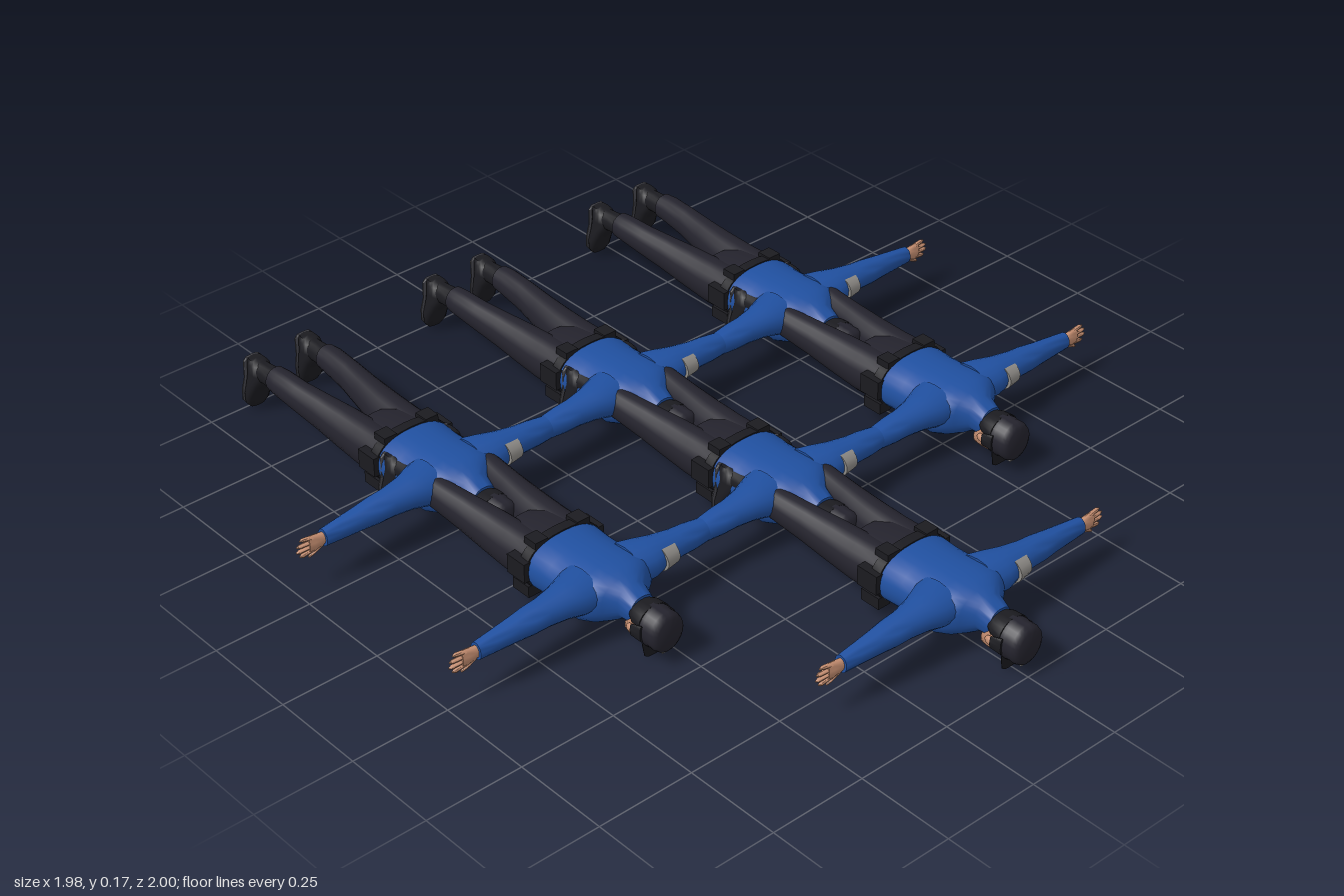
import * as THREE from 'three';
import { toCreasedNormals } from 'three/addons/utils/BufferGeometryUtils.js';

const material = (name, color) => {
  const m = new THREE.MeshStandardMaterial({ color });
  m.name = name;
  return m;
};

// Closed skin over elliptical sections [t, a, b, radiusA, radiusB].
// The axes (t, a, b) are z:(z,x,y), x:(x,y,z), y:(y,z,x).
function loft(axis, sections, { power = 1, segments = 18 } = {}) {
  const rings = [...sections].sort((p, q) => p[0] - q[0]);
  const place = { z: (t, a, b) => [a, b, t], x: (t, a, b) => [t, a, b], y: (t, a, b) => [b, t, a] }[axis];
  const round = v => Math.sign(v) * Math.abs(v) ** power;
  const pos = [], index = [], n = segments;
  for (const [t, a, b, ra, rb] of rings)
    for (let j = 0; j < n; j++) {
      const w = (j / n) * Math.PI * 2;
      pos.push(...place(t, a + ra * round(Math.cos(w)), b + rb * round(Math.sin(w))));
    }
  for (let i = 0; i < rings.length - 1; i++)
    for (let j = 0; j < n; j++) {
      const k = (j + 1) % n, a = i * n + j, b = i * n + k;
      index.push(a, b, b + n, a, b + n, a + n);
    }
  const first = rings[0], last = rings[rings.length - 1], c = rings.length * n;
  pos.push(...place(first[0], first[1], first[2]), ...place(last[0], last[1], last[2]));
  for (let j = 0; j < n; j++) {
    const k = (j + 1) % n;
    index.push(c, k, j, c + 1, c - n + j, c - n + k);
  }
  const g = new THREE.BufferGeometry();
  g.setAttribute('position', new THREE.Float32BufferAttribute(pos, 3));
  g.setIndex(index);
  return toCreasedNormals(g, 0.9);
}

// One figure lying face down, head toward +z, arms stretched along x at z = 0
function createFigure() {
  const blue = material('jacket blue', 0x2050a0);
  const cloth = material('trouser black', 0x24232d);
  const leather = material('leather black', 0x1b1b20);
  const skin = material('skin', 0xc48d70);
  const grey = material('badge grey', 0x8f8c88);
  const rubber = material('sole grey', 0x3c3c42);

  const figure = new THREE.Group();
  const add = (name, geometry, mat, x = 0, y = 0, z = 0) => {
    const mesh = new THREE.Mesh(geometry, mat);
    mesh.name = name;
    mesh.position.set(x, y, z);
    figure.add(mesh);
    return mesh;
  };

  // Jacket body and collar
  add('jacket', loft('z', [
    [-0.17, 0, 0.1, 0.1, 0.064], [-0.15, 0, 0.1, 0.104, 0.067], [-0.1, 0, 0.1, 0.1, 0.067],
    [-0.05, 0, 0.1, 0.1, 0.07], [0, 0, 0.102, 0.11, 0.069], [0.03, 0, 0.106, 0.1, 0.063],
    [0.055, 0, 0.108, 0.07, 0.055], [0.075, 0, 0.108, 0.043, 0.043], [0.11, 0, 0.1, 0.034, 0.036],
  ], { power: 0.85, segments: 28 }), blue);

  // Hips, belt and pouches
  add('hips', loft('z', [
    [-0.3, 0, 0.096, 0.055, 0.045], [-0.26, 0, 0.096, 0.094, 0.058],
    [-0.2, 0, 0.098, 0.101, 0.062], [-0.15, 0, 0.1, 0.1, 0.063],
  ], { power: 0.85, segments: 24 }), cloth);
  add('belt', loft('z', [[-0.186, 0, 0.099, 0.106, 0.068], [-0.158, 0, 0.1, 0.107, 0.069]],
    { power: 0.85, segments: 28 }), leather);
  for (const side of [-1, 1]) {
    add('sidePouch', new THREE.BoxGeometry(0.026, 0.05, 0.06), leather, side * 0.102, 0.105, -0.185);
    add('hipPouch', new THREE.BoxGeometry(0.036, 0.03, 0.055), leather, side * 0.085, 0.048, -0.185);
    add('rearPouch', new THREE.BoxGeometry(0.036, 0.018, 0.04), leather, side * 0.06, 0.16, -0.178);
  }
  add('holster', loft('z', [[-0.28, 0.104, 0.08, 0.01, 0.016], [-0.19, 0.107, 0.09, 0.013, 0.024]]), leather);
  add('buckle', new THREE.BoxGeometry(0.035, 0.008, 0.024), grey, 0, 0.031, -0.172);

  for (const s of [-1, 1]) {
    // Sleeve, from shoulder to cuff
    add('sleeve', loft('x', [
      [0.06, 0.122, -0.018, 0.046, 0.066], [0.1, 0.124, -0.008, 0.045, 0.058],
      [0.14, 0.127, -0.003, 0.038, 0.045], [0.19, 0.127, 0, 0.033, 0.036],
      [0.23, 0.125, 0, 0.032, 0.034], [0.27, 0.123, 0, 0.029, 0.028],
      [0.33, 0.12, 0, 0.025, 0.022], [0.372, 0.118, 0, 0.022, 0.018],
    ].map(([x, ...r]) => [x * s, ...r])), blue);

    // Hand with four fingers and a thumb
    add('palm', loft('x', [
      [0.36, 0.118, 0, 0.014, 0.012], [0.378, 0.117, 0, 0.017, 0.011],
      [0.398, 0.116, 0, 0.022, 0.01], [0.412, 0.116, 0, 0.021, 0.008],
    ].map(([x, ...r]) => [x * s, ...r]), { segments: 14 }), skin);
    for (let i = 0; i < 4; i++) {
      const y = 0.1 + i * 0.0105, tip = [0.437, 0.445, 0.443, 0.434][i], spread = (i - 1.5) * 0.003;
      add('finger', loft('x', [
        [0.4, y, 0, 0.0055, 0.0065], [tip - 0.008, y + spread, 0, 0.005, 0.0055],
        [tip, y + spread, 0, 0.002, 0.002],
      ].map(([x, ...r]) => [x * s, ...r]), { segments: 8 }), skin);
    }
    add('thumb', loft('x', [
      [0.375, 0.107, 0, 0.008, 0.008], [0.4, 0.092, 0, 0.006, 0.006], [0.413, 0.085, 0, 0.003, 0.003],
    ].map(([x, ...r]) => [x * s, ...r]), { segments: 8 }), skin);

    // Trouser leg
    add('trouserLeg', loft('z', [
      [-0.6, 0.074, 0.12, 0.031, 0.033], [-0.57, 0.074, 0.12, 0.033, 0.036],
      [-0.5, 0.071, 0.114, 0.034, 0.041], [-0.42, 0.063, 0.107, 0.039, 0.047],
      [-0.34, 0.056, 0.1, 0.046, 0.054], [-0.26, 0.052, 0.095, 0.05, 0.06],
      [-0.18, 0.05, 0.097, 0.05, 0.062],
    ].map(([z, x, ...r]) => [z, x * s, ...r])), cloth);

    // Boot: shaft, foot with the toe pointing down, sole
    add('bootShaft', loft('z', [
      [-0.67, 0.076, 0.114, 0.024, 0.028], [-0.63, 0.075, 0.117, 0.024, 0.028],
      [-0.585, 0.074, 0.12, 0.027, 0.03],
    ].map(([z, x, ...r]) => [z, x * s, ...r])), leather);
    add('bootFoot', loft('y', [
      [0.01, -0.686, 0.08, 0.009, 0.02], [0.025, -0.683, 0.08, 0.014, 0.032],
      [0.05, -0.68, 0.079, 0.018, 0.035], [0.08, -0.672, 0.077, 0.025, 0.031],
      [0.11, -0.664, 0.076, 0.032, 0.028], [0.135, -0.67, 0.076, 0.027, 0.025],
      [0.144, -0.676, 0.076, 0.018, 0.018],
    ].map(([y, z, x, ...r]) => [y, z, x * s, ...r]), { power: 0.8 }), leather);
    add('sole', loft('y', [
      [0.008, -0.695, 0.08, 0.005, 0.018], [0.03, -0.695, 0.08, 0.005, 0.034],
      [0.06, -0.695, 0.079, 0.005, 0.034], [0.09, -0.695, 0.077, 0.005, 0.027],
      [0.135, -0.695, 0.076, 0.005, 0.026], [0.143, -0.695, 0.076, 0.005, 0.018],
    ].map(([y, z, x, ...r]) => [y, z, x * s, ...r]), { power: 0.6 }), rubber);

    // Ears and eyes
    add('ear', new THREE.SphereGeometry(1, 10, 8), skin, s * 0.045, 0.082, 0.125).scale.set(0.008, 0.011, 0.016);
    add('eye', new THREE.SphereGeometry(1, 10, 8), leather, s * 0.016, 0.04, 0.134).scale.set(0.007, 0.004, 0.004);
    add('capFlap', loft('z', [[0.132, s * 0.051, 0.085, 0.005, 0.016], [0.16, s * 0.046, 0.085, 0.005, 0.022]]), leather);
  }

  // Patch on the head side of the left sleeve
  add('sleevePatch', loft('x', [[0.127, 0.126, 0.006, 0.034, 0.047], [0.167, 0.126, 0.006, 0.031, 0.04]]), grey);

  // Neck, face and hair
  add('neck', loft('z', [[0.07, 0, 0.09, 0.028, 0.03], [0.13, 0, 0.085, 0.028, 0.03]]), skin);
  add('face', loft('z', [
    [0.073, 0, 0.05, 0.013, 0.014], [0.08, 0, 0.056, 0.026, 0.025], [0.1, 0, 0.07, 0.037, 0.039],
    [0.125, 0, 0.078, 0.043, 0.044], [0.155, 0, 0.082, 0.043, 0.046],
  ], { segments: 22 }), skin);
  add('nose', loft('z', [[0.106, 0, 0.031, 0.009, 0.01], [0.113, 0, 0.031, 0.008, 0.009], [0.135, 0, 0.037, 0.004, 0.006]],
    { segments: 10 }), skin);
  add('mouth', new THREE.BoxGeometry(0.02, 0.006, 0.003), rubber, 0, 0.035, 0.094);
  add('hair', loft('z', [
    [0.098, 0, 0.104, 0.031, 0.023], [0.12, 0, 0.104, 0.043, 0.028], [0.15, 0, 0.102, 0.045, 0.033],
  ]), leather);

  // Cap with brim and badge
  add('cap', loft('z', [
    [0.14, 0, 0.084, 0.047, 0.05], [0.16, 0, 0.084, 0.047, 0.052], [0.166, 0, 0.084, 0.045, 0.05],
    [0.185, 0, 0.084, 0.046, 0.051], [0.195, 0, 0.084, 0.043, 0.047], [0.2, 0, 0.084, 0.034, 0.038],
  ], { segments: 26 }), cloth);
  add('brim', loft('y', [
    [0.002, 0.147, 0, 0.002, 0.018], [0.012, 0.15, 0, 0.003, 0.031], [0.055, 0.156, 0, 0.004, 0.043],
  ]), leather);
  add('capBadge', new THREE.BoxGeometry(0.022, 0.006, 0.018), grey, 0, 0.033, 0.179);
  return figure;
}

export function createModel() {
  const model = new THREE.Group();
  model.name = 'figureFormation';
  const figure = createFigure();
  // One figure leads, followed by two rows of three
  const rows = [[0.8, [0]], [0.25, [-0.545, 0, 0.545]], [-0.3, [-0.545, 0, 0.545]]];
  for (const [z, columns] of rows)
    for (const x of columns) {
      const copy = figure.clone();
      copy.name = 'figure';
      copy.position.set(x, 0, z);
      model.add(copy);
    }
  return model;
}
